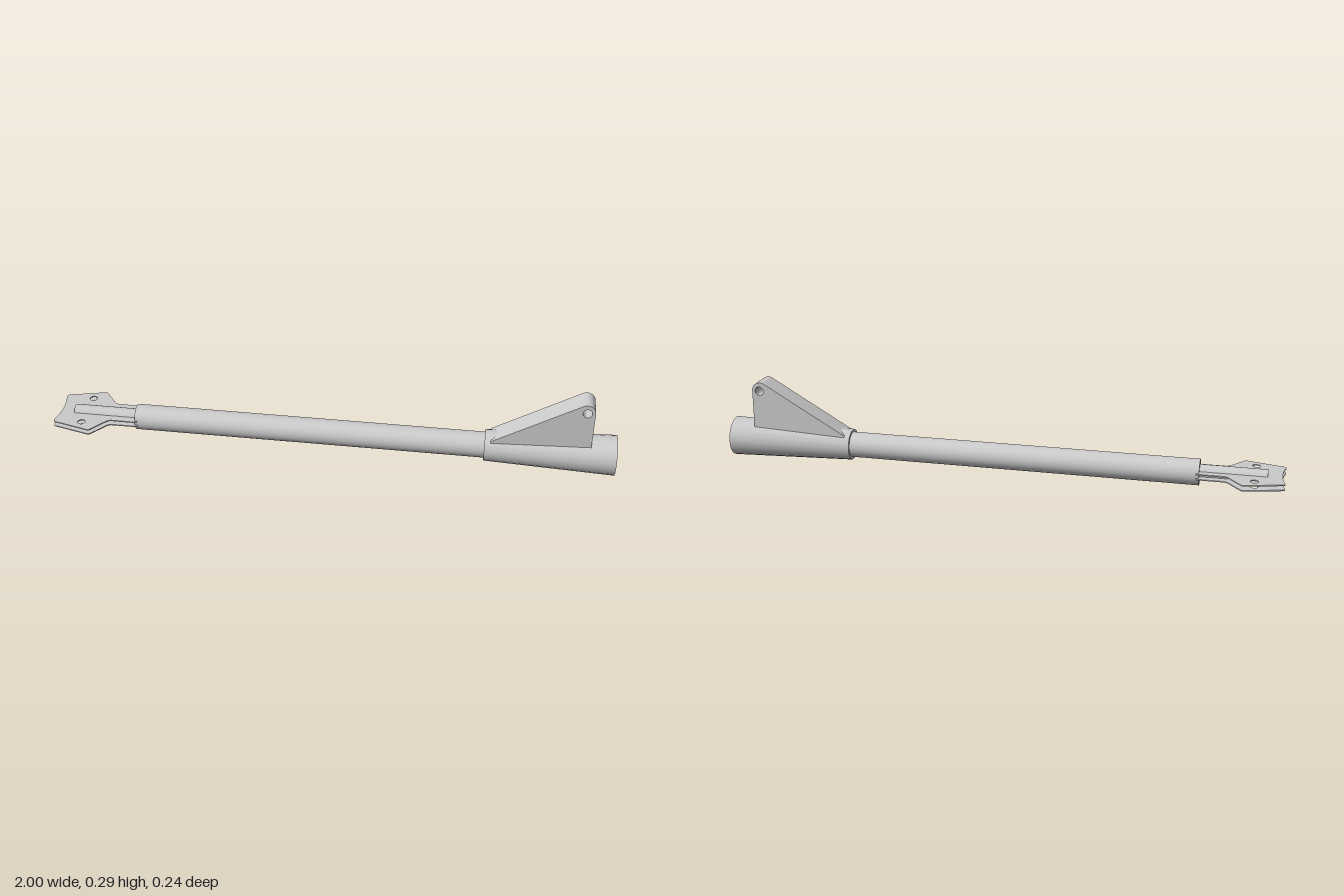
import * as THREE from 'three';
import { toCreasedNormals } from 'three/addons/utils/BufferGeometryUtils.js';

const AXIS_Y = 0.072;

export function createModel() {
  const model = new THREE.Group();
  const material = new THREE.MeshStandardMaterial({ color: 0xcccccc });

  const add = (name, geometry) => {
    const mesh = new THREE.Mesh(geometry, material);
    mesh.name = name;
    model.add(mesh);
    return mesh;
  };

  // Round bar along x, from x0 (radius r0) to x1 (radius r1)
  const bar = (name, x0, x1, r0, r1, sides) => {
    const geometry = new THREE.CylinderGeometry(r1, r0, x1 - x0, sides);
    geometry.rotateZ(-Math.PI / 2);
    add(name, geometry).position.set((x0 + x1) / 2, AXIS_Y, 0);
  };

  const hole = (x, y, r) => new THREE.Path().absarc(x, y, r, 0, Math.PI * 2, true);

  const extrude = (shape, depth) => {
    const geometry = new THREE.ExtrudeGeometry(shape, { depth, bevelEnabled: false, curveSegments: 10 });
    geometry.translate(0, 0, -depth / 2);
    return toCreasedNormals(geometry, 0.6);
  };

  bar('pole', -0.71, 0.56, 0.046, 0.046, 24);
  bar('sleeve', 0.545, 1, 0.056, 0.071, 20);
  bar('innerRod', -0.94, -0.70, 0.028, 0.028, 20);

  // Wedge bracket with a rounded, drilled tip on top of the sleeve
  const wedge = new THREE.Shape();
  wedge.moveTo(0.565, 0.09);
  wedge.lineTo(0.91, 0.09);
  wedge.lineTo(0.91, 0.265);
  wedge.absarc(0.88, 0.265, 0.03, 0, Math.PI * 0.667, false);
  wedge.lineTo(0.565, 0.116);
  wedge.closePath();
  wedge.holes.push(hole(0.883, 0.263, 0.016));
  add('bracket', extrude(wedge, 0.084));

  // Pair of flared mounting plates, with a shallow concave end
  const plate = new THREE.Shape();
  plate.moveTo(-0.70, -0.053);
  plate.lineTo(-0.70, 0.053);
  plate.lineTo(-0.79, 0.053);
  plate.quadraticCurveTo(-0.804, 0.053, -0.812, 0.064);
  plate.lineTo(-0.852, 0.116);
  plate.quadraticCurveTo(-0.858, 0.124, -0.868, 0.121);
  plate.lineTo(-0.99, 0.089);
  plate.quadraticCurveTo(-1, 0.086, -0.999, 0.076);
  plate.quadraticCurveTo(-0.978, 0, -0.999, -0.076);
  plate.quadraticCurveTo(-1, -0.086, -0.99, -0.089);
  plate.lineTo(-0.868, -0.121);
  plate.quadraticCurveTo(-0.858, -0.124, -0.852, -0.116);
  plate.lineTo(-0.812, -0.064);
  plate.quadraticCurveTo(-0.804, -0.053, -0.79, -0.053);
  plate.closePath();
  for (const side of [-1, 1]) plate.holes.push(hole(-0.897, side * 0.077, 0.014));

  const plateGeometry = extrude(plate, 0.004).rotateX(-Math.PI / 2);
  add('lowerPlate', plateGeometry).position.y = 0.063;
  add('upperPlate', plateGeometry).position.y = 0.081;

  return model;
}
